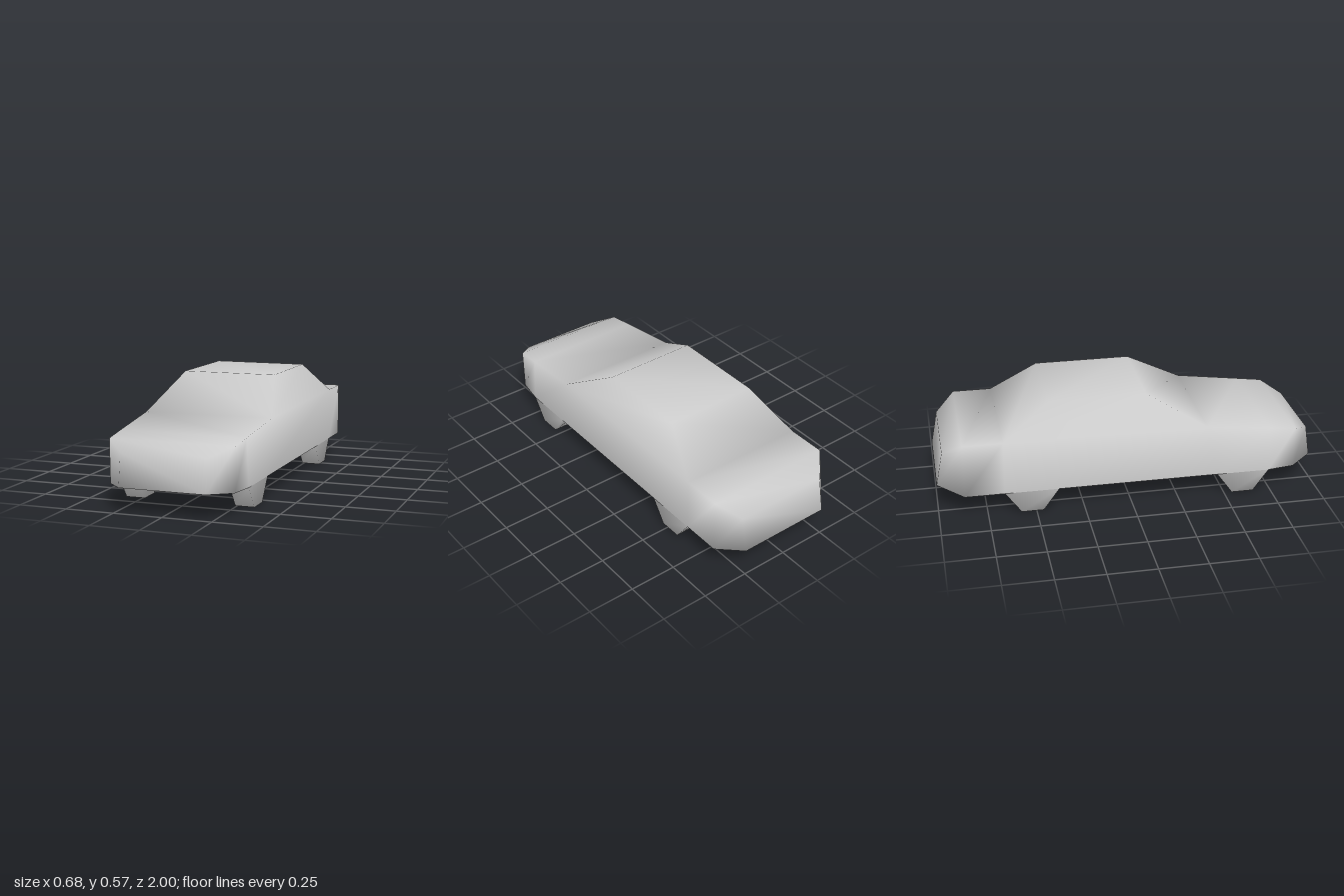
import * as THREE from 'three';
import { mergeVertices } from 'three/addons/utils/BufferGeometryUtils.js';

// Half sections from nose to tail: [bottom x, y, z, shoulder x, y, z]
const stations = [
  [0.22, 0.125, 1.0, 0.22, 0.29, 0.975],
  [0.32, 0.115, 0.88, 0.322, 0.337, 0.88],
  [0.34, 0.115, 0.74, 0.328, 0.354, 0.74],
  [0.34, 0.115, 0.46, 0.34, 0.395, 0.4],
  [0.34, 0.115, -0.66, 0.34, 0.403, -0.66],
  [0.34, 0.115, -0.865, 0.34, 0.403, -0.865],
  [0.25, 0.15, -1.0, 0.25, 0.33, -0.965],
];

function bodyGeometry() {
  const pos = [], index = [];
  const quad = (a, b, c, d) => index.push(a, b, c, a, c, d);
  // Joins two rings of four corners, skipping the listed sides
  const strip = (front, rear, skip) => {
    for (let k = 0; k < 4; k++) {
      const n = (k + 1) % 4;
      if (!skip.includes(k)) quad(front[k], rear[k], rear[n], front[n]);
    }
  };

  // Lower body rings: +x bottom, +x shoulder, -x shoulder, -x bottom
  const rings = stations.map(([bx, by, bz, tx, ty, tz], i) => {
    pos.push(bx, by, bz, tx, ty, tz, -tx, ty, tz, -bx, by, bz);
    return [0, 1, 2, 3].map((k) => 4 * i + k);
  });
  for (let i = 0; i < rings.length - 1; i++) {
    const skip = [];
    if (i === 3) skip.push(1);          // open under the cabin
    if (i >= 1 && i <= 4) skip.push(3); // closed by the floor
    strip(rings[i], rings[i + 1], skip);
  }
  quad(...rings[0]);
  quad(...[...rings[6]].reverse());

  // Cabin: sloping sides, windscreen, roof and rear window
  const r = pos.length / 3;
  for (const z of [0.09, -0.415]) pos.push(0.25, 0.573, z, -0.25, 0.573, z);
  const front = [rings[3][1], r, r + 1, rings[3][2]];
  const rear = [rings[4][1], r + 2, r + 3, rings[4][2]];
  strip(front, rear, [3]);
  quad(...front);
  quad(...[...rear].reverse());

  const g = new THREE.BufferGeometry();
  g.setAttribute('position', new THREE.Float32BufferAttribute(pos, 3));
  g.setIndex(index);
  g.computeVertexNormals();
  return g;
}

// Flat underside following the lower edge of the body
function floorGeometry() {
  const edge = stations.slice(1, 6);
  const pts = [
    ...edge.map((s) => new THREE.Vector2(s[0], s[2])),
    ...[...edge].reverse().map((s) => new THREE.Vector2(-s[0], s[2])),
  ];
  return new THREE.ShapeGeometry(new THREE.Shape(pts)).rotateX(Math.PI / 2).translate(0, 0.115, 0);
}

// Wheel: block tapering towards the ground, open where it meets the floor
function wheelGeometry() {
  let g = new THREE.BoxGeometry(0.1, 0.115, 1);
  const idx = Array.from(g.index.array);
  idx.splice(12, 6);
  g.setIndex(idx);
  g.deleteAttribute('uv');
  g.deleteAttribute('normal');
  const p = g.attributes.position;
  for (let i = 0; i < p.count; i++) p.setZ(i, p.getZ(i) * (p.getY(i) > 0 ? 0.28 : 0.115));
  g = mergeVertices(g);
  g.computeVertexNormals();
  return g;
}

export function createModel() {
  const model = new THREE.Group();
  model.name = 'car';
  const grey = new THREE.MeshStandardMaterial({ color: 0xcccccc });
  grey.name = 'light grey';

  const add = (name, geometry) => {
    const mesh = new THREE.Mesh(geometry, grey);
    mesh.name = name;
    model.add(mesh);
    return mesh;
  };

  add('body', bodyGeometry());
  add('floor', floorGeometry());

  const wheel = wheelGeometry();
  for (const [end, z] of [['front', 0.6], ['rear', -0.52]]) {
    for (const [side, s] of [['Left', 1], ['Right', -1]]) {
      add(`${end}${side}Wheel`, wheel).position.set(s * 0.29, 0.0575, z);
    }
  }
  return model;
}
